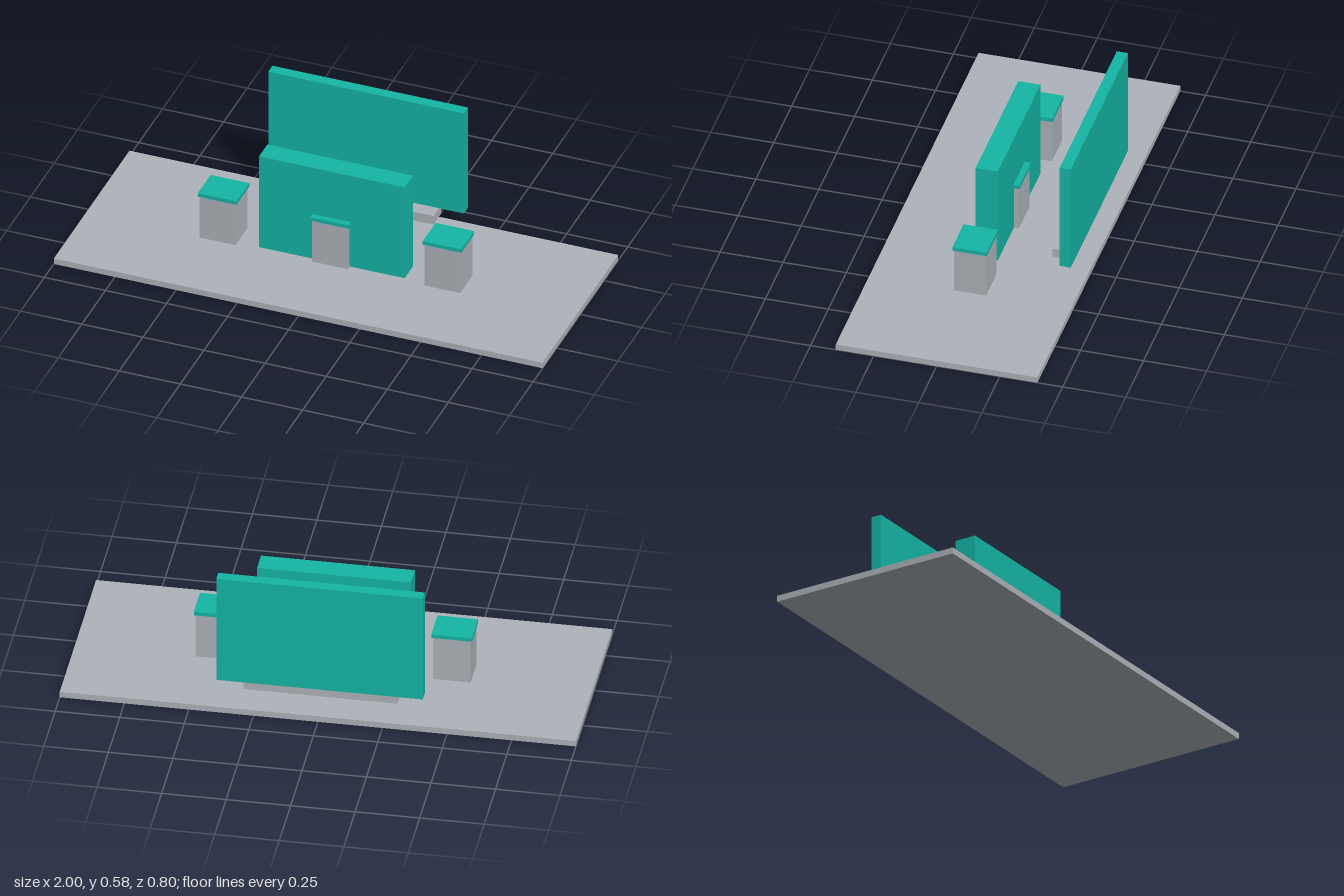
import * as THREE from 'three';

export function createModel() {
  const model = new THREE.Group();
  const grey = new THREE.MeshStandardMaterial({ color: 0xadb3b9 });
  grey.name = 'grey';
  const teal = new THREE.MeshStandardMaterial({ color: 0x14b5a4 });
  teal.name = 'teal';

  // Box from its x centre and width, and its y and z ranges
  function block(name, material, x, width, y0, y1, z0, z1, parent = model) {
    const mesh = new THREE.Mesh(new THREE.BoxGeometry(width, y1 - y0, z1 - z0), material);
    mesh.name = name;
    mesh.position.set(x, (y0 + y1) / 2, (z0 + z1) / 2);
    parent.add(mesh);
  }

  // Floor slab and the thick panel standing in its middle
  block('floorSlab', grey, 0, 2, 0, 0.025, -0.4, 0.4);
  block('centrePanel', teal, 0, 0.596, 0.001, 0.44, -0.044, 0.044);

  // Row of capped pedestals, the middle one set through the panel
  [['right', -0.46], ['centre', 0], ['left', 0.46]].forEach(([side, x]) => {
    const pedestal = new THREE.Group();
    pedestal.name = side + 'Pedestal';
    block('pedestalBody', grey, x, 0.146, 0.02, 0.213, -0.064, 0.064, pedestal);
    block('pedestalCap', teal, x, 0.158, 0.213, 0.229, -0.068, 0.068, pedestal);
    model.add(pedestal);
  });

  // Raised ledge with the tall back panel resting on it
  block('backLedge', grey, 0, 0.596, 0.083, 0.122, -0.348, -0.26);
  block('backPanel', teal, 0, 0.8, 0.122, 0.58, -0.362, -0.318);

  return model;
}
